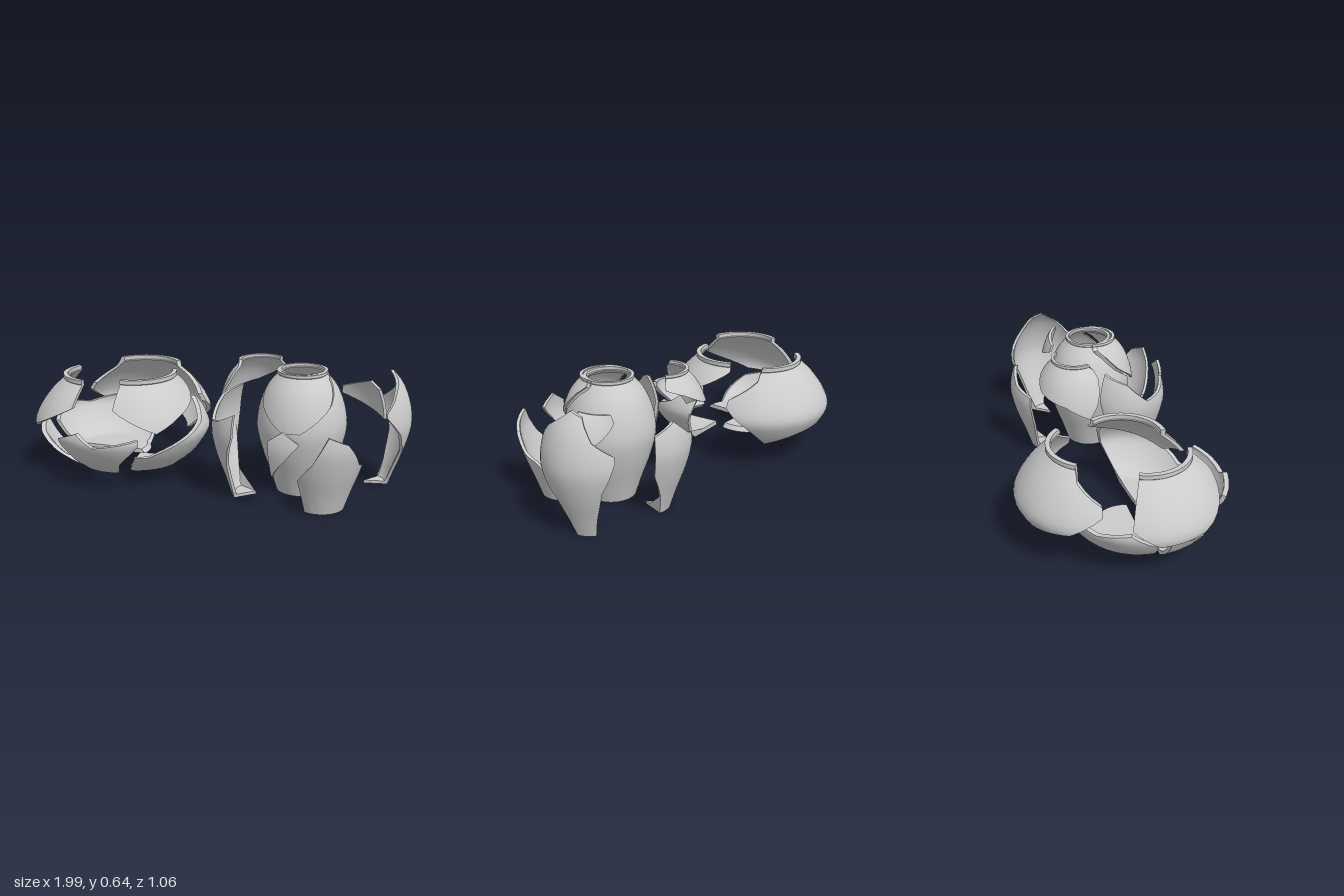
import * as THREE from 'three';
import { toCreasedNormals } from 'three/addons/utils/BufferGeometryUtils.js';

const material = new THREE.MeshStandardMaterial({ color: 0xcccccc });
const { lerp, clamp, degToRad } = THREE.MathUtils;

// A pot is a wall profile of (radius, height) points, a rim lip, a floor level and a wall thickness.
function makePot(wall, lip, floor, thick) {
  const curve = new THREE.SplineCurve(wall.map(p => new THREE.Vector2(...p)));
  const pts = [...curve.getPoints(18).map(p => [p.y, p.x]), ...lip.map(([r, y]) => [y, r])];
  const base = wall[0][0];
  return {
    // rows of a full section: -1 is the floor centre, 0 the foot, above that height in units
    rows: [-1, -0.5, ...pts.map(p => p[0])],
    outer: v => v < 0 ? [base * (1 + v), floor] : [sample(pts, v), floor + v],
    inner: v => v < 0 ? [(base - thick) * (1 + v), floor + thick]
      : [sample(pts, v) - thick, floor + Math.max(v, thick)],
  };
}

// Value of a polyline of [position, value] pairs
function sample(line, x) {
  if (x <= line[0][0]) return line[0][1];
  for (let i = 1; i < line.length; i++) {
    const [a, va] = line[i - 1], [b, vb] = line[i];
    if (x <= b) return b - a < 1e-9 ? vb : lerp(va, vb, (x - a) / (b - a));
  }
  return line[line.length - 1][1];
}

// A thick curved piece of a pot between two broken edges, each a list of [angle, row]
function shard(name, pot, [cx, cz], lower, upper) {
  const start = lower[0][0], end = lower[lower.length - 1][0];
  const angles = new Set([...lower, ...upper].map(p => p[0]));
  const steps = Math.ceil((end - start) / 7.5);
  for (let i = 0; i <= steps; i++) angles.add(lerp(start, end, i / steps));
  const n = pot.rows.length;

  // one closed cross-section per angle: up the outside, down the inside
  const sections = [...angles].sort((a, b) => a - b).map(deg => {
    const a = degToRad(deg), lo = sample(lower, deg), hi = Math.max(lo, sample(upper, deg));
    const place = ([r, y]) => new THREE.Vector3(r * Math.sin(a), y, r * Math.cos(a));
    const vs = pot.rows.map(v => clamp(v, lo, hi));
    return [...vs.map(v => place(pot.outer(v))), ...vs.map(v => place(pot.inner(v))).reverse()];
  });

  const data = [];
  const tri = (a, b, c) => {
    if (new THREE.Triangle(a, b, c).getArea() > 1e-9) for (const p of [a, b, c]) data.push(p.x, p.y, p.z);
  };
  const quad = (a, b, c, d) => { tri(a, b, c); tri(a, c, d); };
  for (let i = 0; i + 1 < sections.length; i++) {
    const s = sections[i], t = sections[i + 1];
    for (let k = 0; k < 2 * n; k++) {
      const m = (k + 1) % (2 * n);
      quad(s[k], t[k], t[m], s[m]);
    }
  }
  // broken side faces
  const first = sections[0], last = sections[sections.length - 1];
  for (let k = 0; k + 1 < n; k++) {
    const j = 2 * n - 1 - k;
    quad(first[k], first[k + 1], first[j - 1], first[j]);
    quad(last[k], last[j], last[j - 1], last[k + 1]);
  }
  const geometry = new THREE.BufferGeometry();
  geometry.setAttribute('position', new THREE.Float32BufferAttribute(data, 3));
  const mesh = new THREE.Mesh(toCreasedNormals(geometry, degToRad(32)), material);
  mesh.name = name;
  mesh.position.set(cx, 0, cz);
  return mesh;
}

export function createModel() {
  const model = new THREE.Group();
  model.name = 'brokenPots';

  // Wide low pot, fully broken apart
  const bowl = makePot(
    [[0.22, 0], [0.3, 0.065], [0.355, 0.14], [0.378, 0.205], [0.345, 0.285], [0.285, 0.365], [0.215, 0.43]],
    [[0.219, 0.434], [0.219, 0.455]], 0.08, 0.024);
  const bowlTop = 0.455;
  const bowlGroup = new THREE.Group();
  bowlGroup.name = 'wideBowlShards';
  bowlGroup.add(
    shard('backShard', bowl, [-0.49, -0.155],
      [[96, 0.26], [115, 0.17], [132, 0.05], [165, 0.11], [205, 0.14], [240, 0.18], [264, 0.27]],
      [[96, 0.3], [122, 0.39], [128, bowlTop], [236, bowlTop], [241, 0.39], [264, 0.31]]),
    shard('leftRimShard', bowl, [-0.618, 0.07],
      [[-115, 0.25], [-95, 0.17], [-60, 0.18], [-35, 0.25], [-8, 0.33]],
      [[-115, bowlTop], [-8, bowlTop]]),
    shard('leftFloorShard', bowl, [-0.605, 0.08],
      [[-88, -1], [0, -1]],
      [[-88, 0.18], [-60, 0.14], [-40, 0.06], [-25, 0], [0, 0]]),
    shard('leftBackShard', bowl, [-0.59, 0.04],
      [[90, -1], [270, -1]],
      [[90, -0.18], [135, -0.02], [150, 0.06], [165, 0.2], [195, 0.23], [225, 0.19], [250, 0.22], [270, 0.14]]),
    shard('rightRimShard', bowl, [-0.465, 0],
      [[0, 0.32], [38, 0.21], [60, 0.27], [90, 0.33], [120, 0.41]],
      [[0, bowlTop], [120, bowlTop]]),
    shard('rightFloorShard', bowl, [-0.415, 0.09],
      [[8, -1], [90, -1], [98, 0.06], [110, 0.28]],
      [[8, -0.05], [18, 0.11], [30, 0.11], [60, 0.19], [85, 0.25], [105, 0.35], [110, 0.34]]),
    shard('frontShard', bowl, [-0.49, 0.148],
      [[-36, 0.14], [-30, 0], [-25, -0.08], [18, -0.08], [21, 0.08], [36, 0.19]],
      [[-36, 0.19], [-15, 0.24], [0, 0.18], [10, 0.19], [36, 0.22]]));

  // Tall jar, almost whole, with its front shoulder slipped forward
  const jar = makePot(
    [[0.122, 0], [0.155, 0.1], [0.192, 0.2], [0.22, 0.3], [0.227, 0.37], [0.212, 0.46], [0.175, 0.55], [0.12, 0.618]],
    [[0.124, 0.622], [0.124, 0.636]], 0, 0.016);
  const jarTop = 0.636;
  const crack = [[-92, 0.6], [-77, 0.565], [-57, 0.49], [-12, 0.37], [12, 0.37], [57, 0.49], [77, 0.565], [92, 0.6]];
  const jarGroup = new THREE.Group();
  jarGroup.name = 'tallJar';
  jarGroup.add(
    shard('jarBody', jar, [0.467, 0.067], [[-180, -1], [180, -1]],
      [[-180, jarTop], [-93, jarTop], ...crack, [93, jarTop], [180, jarTop]]),
    shard('jarRim', jar, [0.467, 0.067], [[-93, 0.6], [93, 0.6]], [[-93, jarTop], [93, jarTop]]),
    shard('jarShoulder', jar, [0.467, 0.093], crack, [[-92, jarTop], [92, jarTop]]));

  // Shards spread around the jar
  const ring = new THREE.Group();
  ring.name = 'tallJarShards';
  ring.add(
    shard('backLeftRimShard', jar, [0.22, -0.07],
      [[135, 0.57], [165, 0.54], [200, 0.48], [245, 0.44], [278, 0.37], [290, 0.43], [305, 0.55]],
      [[135, jarTop], [295, jarTop], [305, 0.6]]),
    shard('leftShard', jar, [0.275, 0.22],
      [[-140, 0.4], [-125, 0.1], [-118, -1], [-55, -1], [-48, 0], [-35, 0.2], [-18, 0.36]],
      [[-140, 0.54], [-100, 0.5], [-70, 0.4], [-45, 0.42], [-18, 0.47]]),
    shard('backShard', jar, [0.455, -0.155],
      [[145, 0.24], [160, 0.1], [168, -1], [212, -1], [218, 0], [228, 0.2]],
      [[145, 0.45], [175, 0.5], [200, 0.42], [228, 0.38]]),
    shard('rightShard', jar, [0.77, -0.1],
      [[35, 0.42], [58, 0.32], [66, 0.26], [82, 0.21], [100, 0], [105, -1], [140, -1], [145, 0.1], [150, 0.26], [166, 0.4]],
      [[35, 0.44], [60, 0.54], [97, 0.62], [125, 0.6], [140, 0.5], [166, 0.43]]),
    shard('smallRightShard', jar, [0.7, 0.07],
      [[130, 0.37], [150, 0.4], [200, 0.48]],
      [[130, 0.53], [145, 0.57], [200, 0.52]]),
    shard('frontRightShard', jar, [0.61, 0.26],
      [[-25, -1], [120, -1]],
      [[-25, 0.18], [0, 0.28], [20, 0.42], [45, 0.38], [70, 0.26], [95, 0.23], [120, 0.12]]),
    shard('frontChip', jar, [0.47, 0.272],
      [[-18, 0.195], [20, 0.375]],
      [[-18, 0.385], [0, 0.435], [20, 0.38]]));

  model.add(bowlGroup, jarGroup, ring);
  return model;
}
